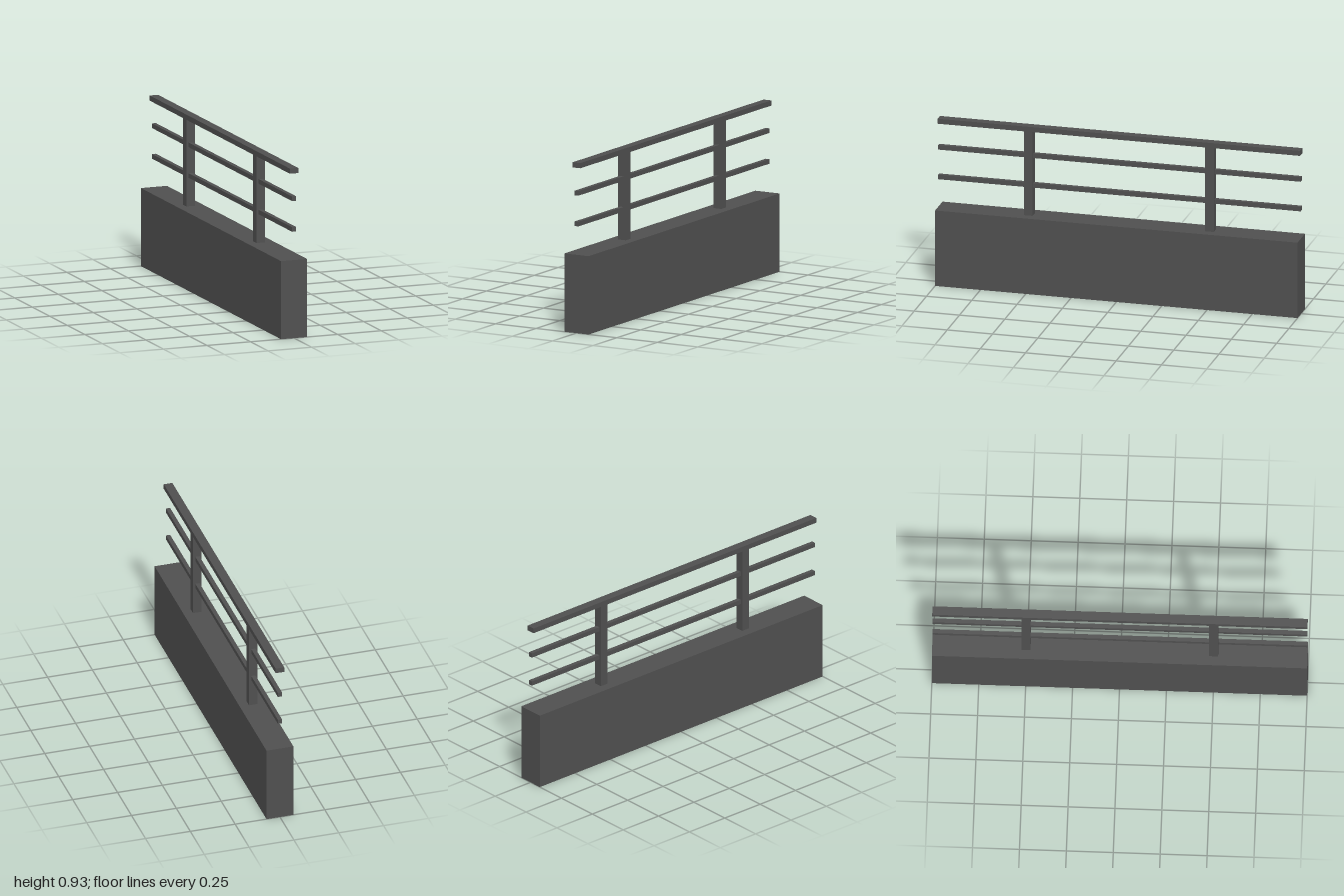
import * as THREE from 'three';

export function createModel() {
  const group = new THREE.Group();
  const darkGrey = new THREE.MeshStandardMaterial({ color: 0x4f4f4f });
  darkGrey.name = 'darkGrey';

  // Box standing on height `bottom`, centred on x = 0
  function addBox(name, width, bottom, top, depth, z = 0) {
    const mesh = new THREE.Mesh(new THREE.BoxGeometry(width, top - bottom, depth), darkGrey);
    mesh.name = name;
    mesh.position.set(0, (bottom + top) / 2, z);
    group.add(mesh);
  }

  // Solid parapet wall
  addBox('baseWall', 0.15, 0, 0.425, 2);

  // Upright posts
  addBox('frontPost', 0.048, 0.425, 0.897, 0.048, 0.5);
  addBox('backPost', 0.048, 0.425, 0.897, 0.048, -0.5);

  // Thin rails running through the posts, and the handrail on top
  addBox('lowerRail', 0.023, 0.58, 0.605, 2);
  addBox('upperRail', 0.023, 0.747, 0.772, 2);
  addBox('handrail', 0.048, 0.897, 0.925, 2);

  return group;
}
